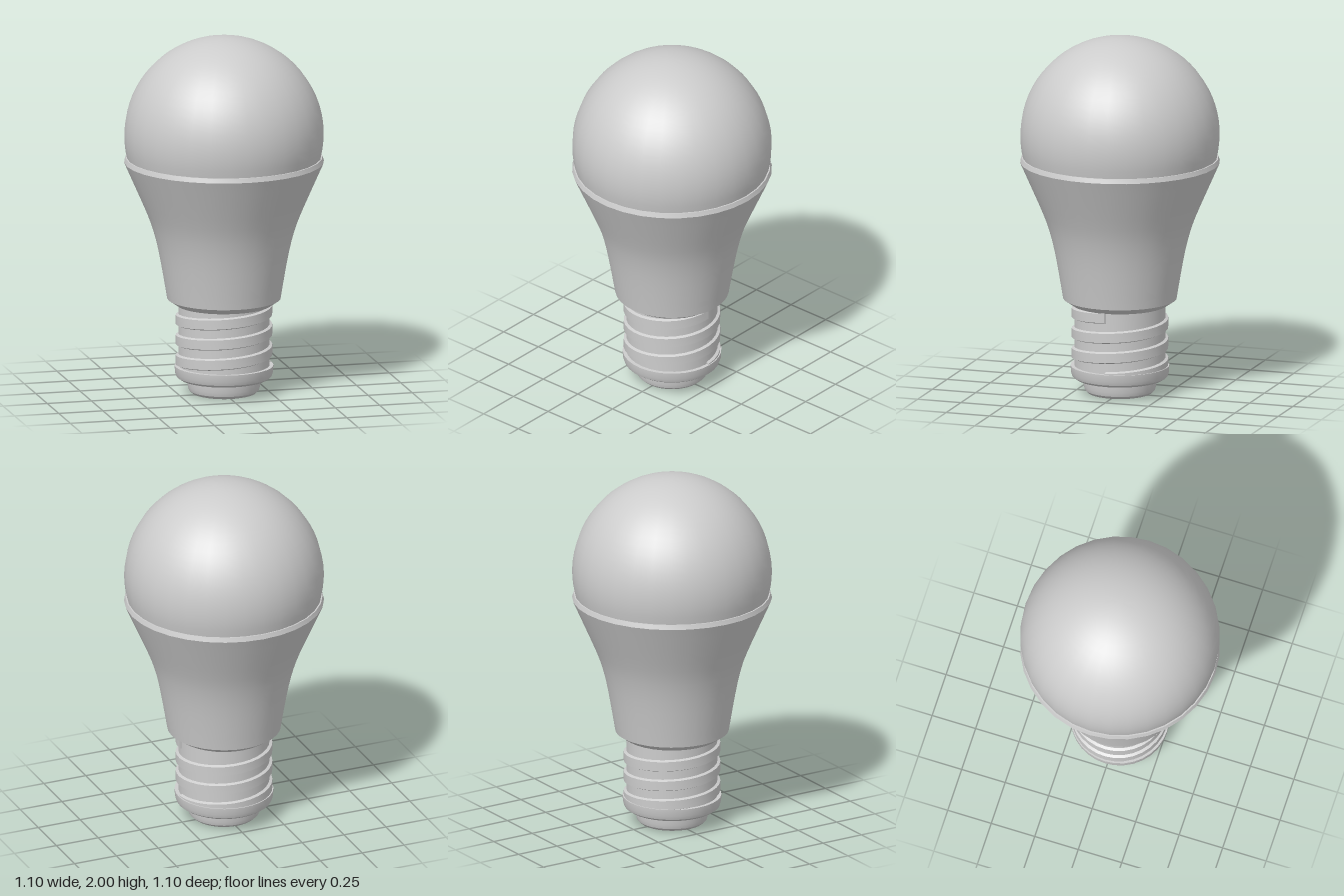
import * as THREE from 'three';
import { toCreasedNormals } from 'three/addons/utils/BufferGeometryUtils.js';

const SIDES = 32;

export function createModel() {
  const group = new THREE.Group();
  const grey = new THREE.MeshStandardMaterial({ color: 0xcccccc });
  grey.name = 'light grey';

  const add = (name, geometry) => {
    const mesh = new THREE.Mesh(toCreasedNormals(geometry, 0.5), grey);
    mesh.name = name;
    group.add(mesh);
  };
  // Profile points are [radius, height], from bottom to top
  const lathe = (name, points) =>
    add(name, new THREE.LatheGeometry(points.map(([r, y]) => new THREE.Vector2(r, y)), SIDES));

  // Rounded contact at the very bottom
  lathe('contact', [[0, 0], [0.15, 0], [0.176, 0.007], [0.192, 0.022], [0.199, 0.045], [0.199, 0.09]]);

  // Collar below the thread
  lathe('collar', [[0, 0.08], [0.215, 0.08], [0.243, 0.087], [0.261, 0.1],
    [0.269, 0.122], [0.271, 0.16], [0.25, 0.16]]);

  // Screw core and its helical ridge
  lathe('screwCore', [[0.25, 0.15], [0.25, 0.52]]);
  add('screwThread', threadGeometry(3, 0.113, 0.105));

  // Flared housing: sloped underside, concave wall, bevelled rim
  const wall = new THREE.SplineCurve([[0.312, 0.537], [0.334, 0.67], [0.36, 0.81], [0.388, 0.92],
    [0.42, 1.01], [0.476, 1.14], [0.548, 1.303]].map(([r, y]) => new THREE.Vector2(r, y)));
  lathe('housing', [[0.24, 0.503], [0.262, 0.503], ...wall.getPoints(12).map((p) => [p.x, p.y]),
    [0.54, 1.328], [0.52, 1.328]]);

  // Dome: a sphere cut off where it meets the rim
  const radius = 0.547, centre = 2 - radius, dome = [];
  const start = Math.asin((1.32 - centre) / radius);
  for (let i = 0; i <= 20; i++) {
    const a = start + (Math.PI / 2 - start) * i / 20;
    dome.push([i === 20 ? 0 : radius * Math.cos(a), centre + radius * Math.sin(a)]);
  }
  lathe('dome', dome);

  return group;
}

// Sweeps a bevelled band up a helix, closed at both ends
function threadGeometry(turns, pitch, bottom) {
  const section = [[0.248, 0], [0.265, 0.008], [0.265, 0.06], [0.248, 0.068]];
  const n = section.length, steps = turns * SIDES;
  const positions = [], index = [];
  for (let i = 0; i <= steps; i++) {
    const t = (i / SIDES) * Math.PI * 2;
    for (const [r, h] of section) {
      positions.push(r * Math.cos(t), bottom + pitch * i / SIDES + h, -r * Math.sin(t));
    }
    if (i === steps) break;
    for (let j = 0; j < n - 1; j++) {
      const a = i * n + j, b = a + n;
      index.push(a, b, a + 1, b, b + 1, a + 1);
    }
  }
  const e = steps * n;
  index.push(0, 1, 2, 0, 2, 3, e, e + 2, e + 1, e, e + 3, e + 2);
  const geometry = new THREE.BufferGeometry();
  geometry.setAttribute('position', new THREE.Float32BufferAttribute(positions, 3));
  geometry.setIndex(index);
  return geometry;
}
